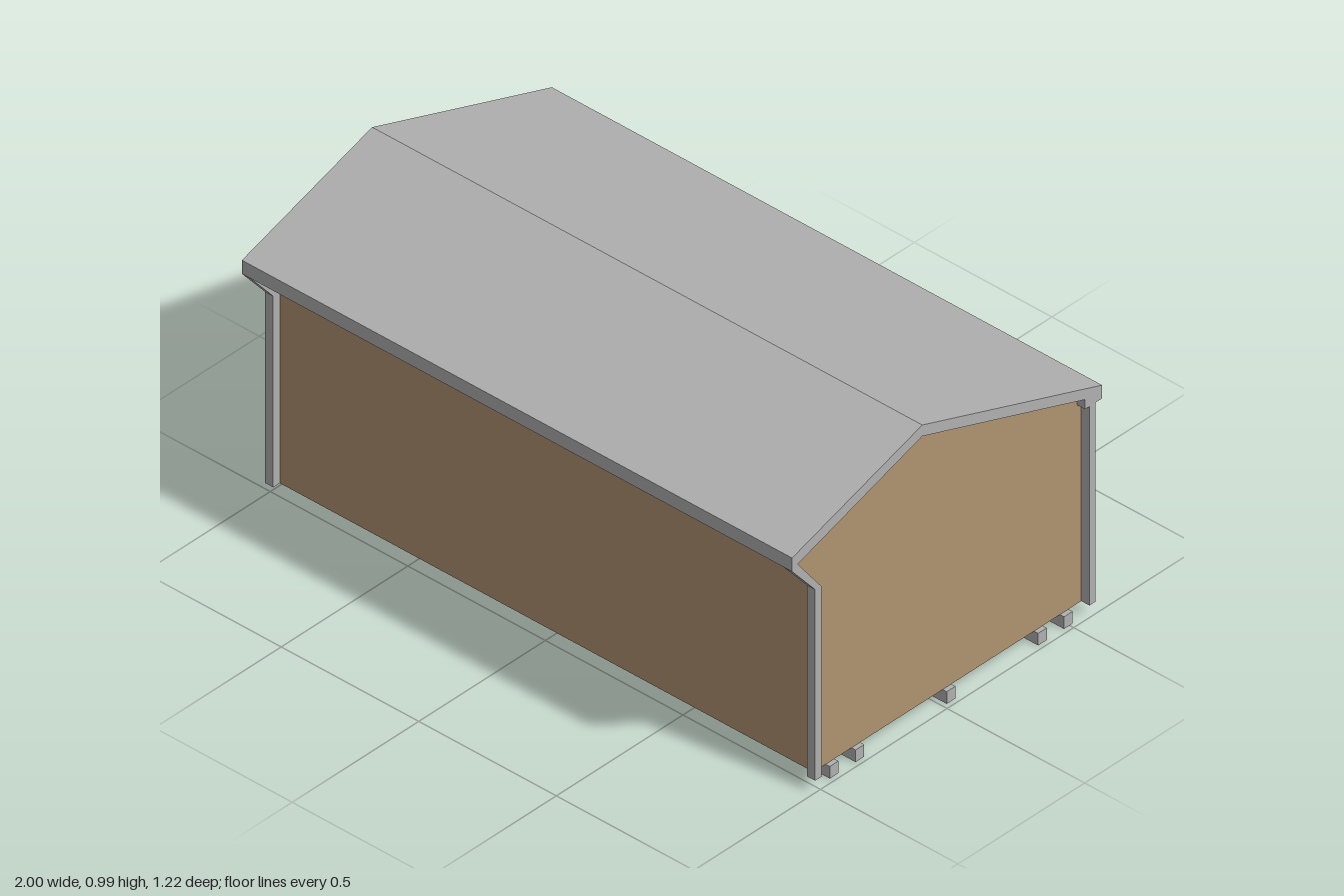
import * as THREE from 'three';

const grey = new THREE.MeshStandardMaterial({ color: 0xb0b0b0 });
grey.name = 'greyTrim';
const brown = new THREE.MeshStandardMaterial({ color: 0xaf9370 });
brown.name = 'brownPanel';

// Extrudes a (z, y) profile along x, from x0 to x1.
function slab(name, profile, x0, x1, material) {
  const shape = new THREE.Shape(profile.map(([z, y]) => new THREE.Vector2(z, y)));
  const geometry = new THREE.ExtrudeGeometry(shape, { depth: x1 - x0, bevelEnabled: false });
  geometry.rotateY(-Math.PI / 2);
  geometry.translate(x1, 0, 0);
  const mesh = new THREE.Mesh(geometry, material);
  mesh.name = name;
  return mesh;
}

// Bar along x with a rectangular (z, y) section.
const bar = (name, z0, z1, y0, y1, halfLength, material) =>
  slab(name, [[z0, y0], [z1, y0], [z1, y1], [z0, y1]], -halfLength, halfLength, material);

export function createModel() {
  const shed = new THREE.Group();
  shed.name = 'shed';

  // Gabled roof shell with fascia at both eaves
  shed.add(slab('roof', [
    [0.612, 0.78], [0.612, 0.825], [0.098, 0.99], [-0.612, 0.742], [-0.612, 0.698],
    [-0.545, 0.698], [-0.545, 0.73], [0.098, 0.953], [0.59, 0.793], [0.598, 0.78],
  ], -1, 1, grey));

  // Inner ceiling under the two slopes
  shed.add(slab('ceiling', [
    [0.492, 0.825], [0.098, 0.953], [-0.545, 0.73], [-0.545, 0.722], [0.098, 0.945], [0.492, 0.817],
  ], -0.965, 0.965, brown));

  // Long walls
  shed.add(bar('frontWall', 0.485, 0.495, 0.04, 0.824, 0.97, brown));
  shed.add(bar('backWall', -0.562, -0.552, 0.04, 0.71, 0.97, brown));

  // Gable walls, corner posts and flared eave brackets at both ends
  for (const side of [1, -1]) {
    const end = (name, profile, inner, outer, material) => shed.add(
      slab(name, profile, Math.min(side * inner, side * outer), Math.max(side * inner, side * outer), material));
    const label = side > 0 ? 'left' : 'right';
    end(label + 'GableWall', [
      [0.495, 0.04], [0.495, 0.668], [0.592, 0.792], [0.098, 0.955],
      [-0.545, 0.732], [-0.545, 0.698], [-0.562, 0.698], [-0.562, 0.04],
    ], 0.96, 0.97, brown);
    end(label + 'FrontTrim', [
      [0.495, 0.04], [0.521, 0.04], [0.521, 0.672], [0.612, 0.78], [0.59, 0.793], [0.495, 0.668],
    ], 0.97, 1, grey);
    end(label + 'BackPost', [
      [-0.587, 0.04], [-0.562, 0.04], [-0.562, 0.698], [-0.587, 0.698],
    ], 0.97, 1, grey);
  }

  // Floor skids
  for (const z of [0.43, 0.328, -0.032, -0.393, -0.495]) {
    shed.add(bar('skid', z - 0.017, z + 0.017, 0, 0.04, 0.985, grey));
  }
  return shed;
}
